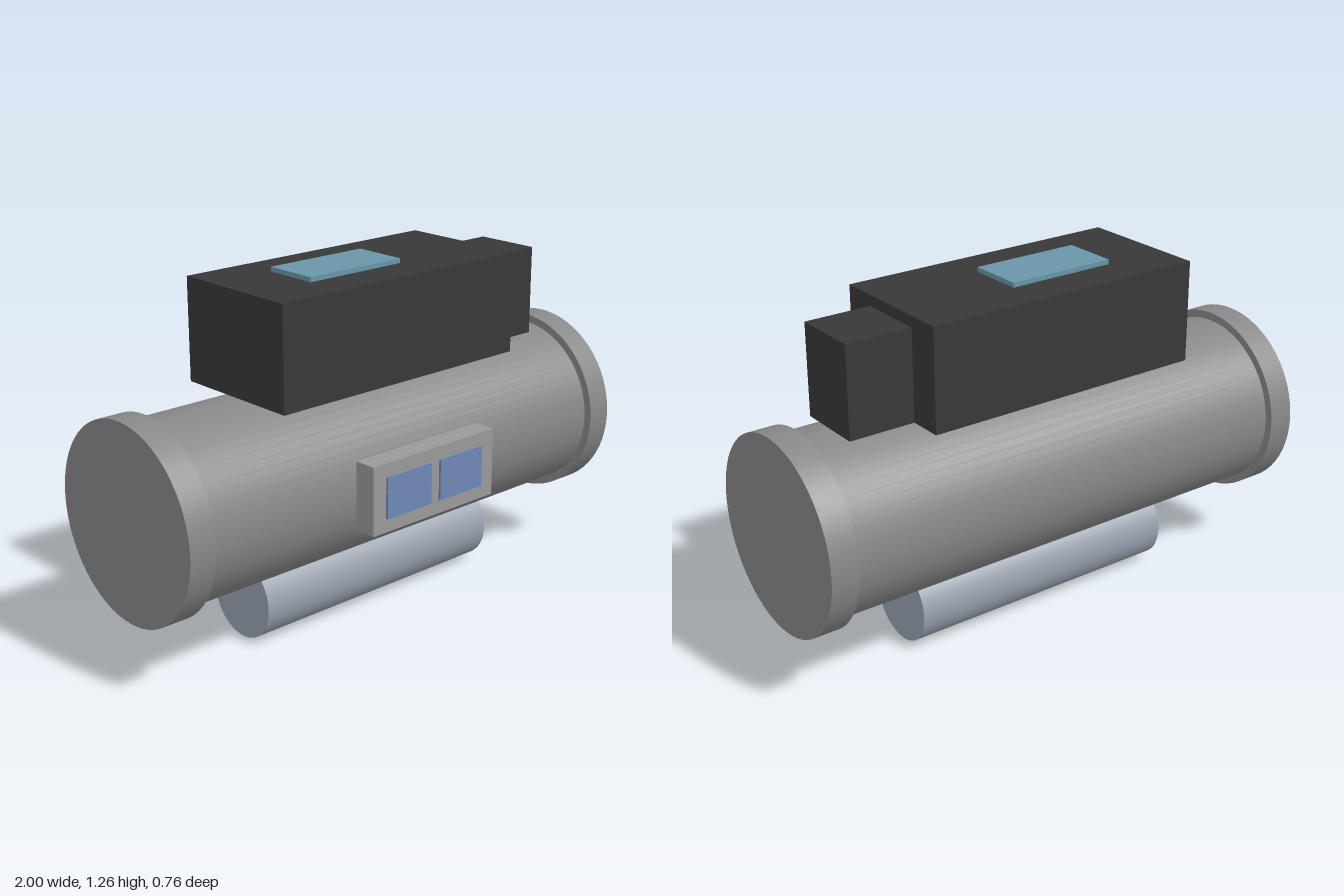
import * as THREE from 'three';

const AXIS_Y = 0.555, AXIS_Z = -0.03;

export function createModel() {
  const model = new THREE.Group();
  const mat = (color) => new THREE.MeshStandardMaterial({ color });
  const bodyGrey = mat(0x888888), panelGrey = mat(0x999999), dark = mat(0x383838);
  const steel = mat(0x9aa3b0), screenBlue = mat(0x6f88b5), glassBlue = mat(0x6896a8);

  function add(name, geometry, material) {
    const mesh = new THREE.Mesh(geometry, material);
    mesh.name = name;
    model.add(mesh);
  }

  // Box given by its extents on each axis
  function box(name, [x0, x1], [y0, y1], [z0, z1], material) {
    const g = new THREE.BoxGeometry(x1 - x0, y1 - y0, z1 - z0);
    g.translate((x0 + x1) / 2, (y0 + y1) / 2, (z0 + z1) / 2);
    add(name, g, material);
  }

  // Closed cylinder lying along x
  function rod(name, radius, [x0, x1], y, material) {
    const g = new THREE.CylinderGeometry(radius, radius, x1 - x0, 64);
    g.rotateZ(Math.PI / 2);
    g.translate((x0 + x1) / 2, y, AXIS_Z);
    add(name, g, material);
  }

  // Main barrel with a flange at each end
  rod('barrel', 0.321, [-0.95, 0.95], AXIS_Y, bodyGrey);
  rod('rightFlange', 0.35, [-1, -0.9], AXIS_Y, bodyGrey);
  rod('leftFlange', 0.35, [0.9, 1], AXIS_Y, bodyGrey);

  // Small tube slung underneath
  rod('lowerTube', 0.148, [-0.537, 0.537], 0.15, steel);

  // Housing on top with its side box and window
  box('topHousing', [-0.537, 0.537], [0.88, 1.25], [-0.28, 0.22], dark);
  box('sideHousing', [0.537, 0.782], [0.88, 1.21], [-0.155, 0.095], dark);
  box('topWindow', [-0.29, 0.12], [1.24, 1.267], [-0.135, 0.07], glassBlue);

  // Front control panel with two screens
  box('controlPanel', [-0.288, 0.288], [0.432, 0.68], [0.29, 0.374], panelGrey);
  box('rightScreen', [-0.23, -0.023], [0.482, 0.632], [0.36, 0.382], screenBlue);
  box('leftScreen', [0.02, 0.226], [0.482, 0.632], [0.36, 0.382], screenBlue);

  return model;
}
